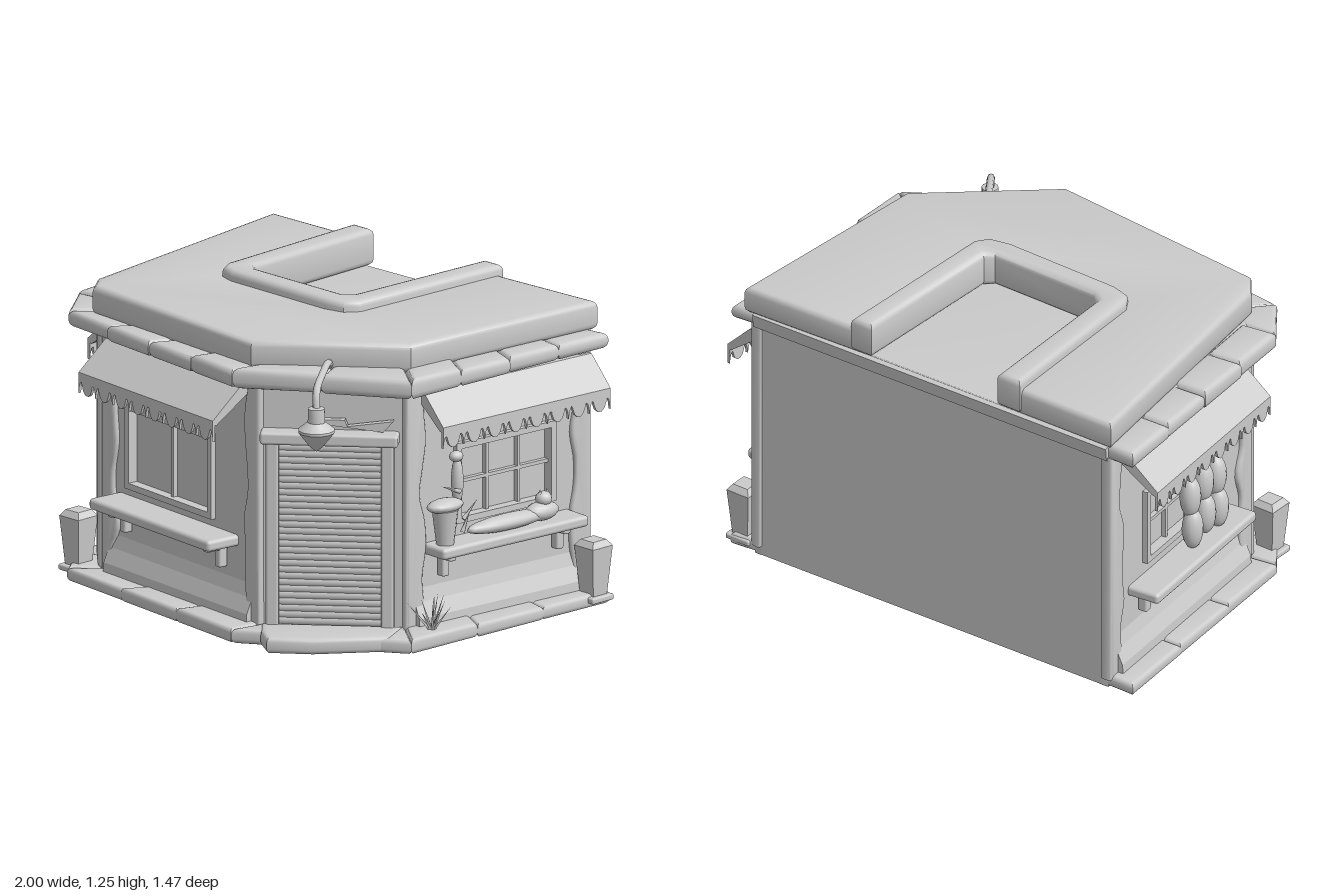
import * as THREE from 'three';
import { toCreasedNormals } from 'three/addons/utils/BufferGeometryUtils.js';
import { RoundedBoxGeometry } from 'three/addons/geometries/RoundedBoxGeometry.js';

const mat = new THREE.MeshStandardMaterial({ color: 0xcccccc, side: THREE.DoubleSide });
let seed = 7;
const rnd = (a, b) => { seed = (seed * 16807) % 2147483647; return a + (b - a) * seed / 2147483647; };

function add(parent, name, geo, x = 0, y = 0, z = 0) {
  const m = new THREE.Mesh(geo, mat);
  m.name = name;
  m.position.set(x, y, z);
  parent.add(m);
  return m;
}
const box = (p, name, w, h, d, x, y, z, r = 0) =>
  add(p, name, r ? new RoundedBoxGeometry(w, h, d, 2, r) : new THREE.BoxGeometry(w, h, d), x, y, z);
function blob(p, name, rx, ry, rz, x, y, z) {
  return add(p, name, new THREE.SphereGeometry(1, 14, 10).scale(rx, ry, rz), x, y, z);
}
const toShape = pts => new THREE.Shape(pts.map(([x, y]) => new THREE.Vector2(x, y)));

// Plan outline [x, z] raised from y0 to y1 with softened edges
function slab(p, name, pts, y0, y1, b = 0.015) {
  const g = new THREE.ExtrudeGeometry(toShape(pts.map(([x, z]) => [x, -z])), {
    depth: y1 - y0 - 2 * b, bevelSize: b, bevelThickness: b, bevelOffset: -b, bevelSegments: 3,
  });
  g.rotateX(-Math.PI / 2).translate(0, y0 + b, 0);
  return add(p, name, toCreasedNormals(g, 0.7));
}
// Side profile [z, y] swept along local x
function sweep(p, name, pts, w, x = 0) {
  const g = new THREE.ExtrudeGeometry(toShape(pts), { depth: w, bevelEnabled: false });
  return add(p, name, g.rotateY(-Math.PI / 2).translate(w / 2, 0, 0), x);
}

// Plans: wall line, cornice/plinth outline and roof
const WALL = [[-0.85, -0.67], [-0.74, 0.36], [-0.63, 0.46], [0.35, 0.57], [0.78, 0.21], [0.845, -0.715]];
const OUTER = [[-0.97, -0.67], [-0.87, 0.38], [-0.73, 0.57], [0.33, 0.71], [0.93, 0.32], [0.955, -0.725]];
const ROOF = [[-0.87, -0.68], [-0.7, 0.44], [-0.63, 0.53], [0.34, 0.615], [0.815, 0.21], [0.88, -0.735],
  [0.3, -0.71], [0.3, 0.02], [-0.35, 0.02], [-0.35, -0.69]];

// Mitred rows of worn stones between the wall line and an outer outline
function stoneRow(p, name, y0, y1, counts, wobble, bevel) {
  const mix = (a, b, t) => [a[0] + (b[0] - a[0]) * t, a[1] + (b[1] - a[1]) * t];
  counts.forEach((n, i) => {
    for (let k = 0; k < n; k++) {
      const t0 = k / n, t1 = (k + 1) / n, s = rnd(0.96, 1.04);
      const i0 = mix(WALL[i], WALL[i + 1], t0), i1 = mix(WALL[i], WALL[i + 1], t1);
      const o0 = mix(i0, mix(OUTER[i], OUTER[i + 1], t0), s);
      const o1 = mix(i1, mix(OUTER[i], OUTER[i + 1], t1), s);
      const back0 = mix(i0, o0, -0.2), back1 = mix(i1, o1, -0.2);
      slab(p, name, [back0, o0, o1, back1], y0, y1 + rnd(-wobble, wobble), bevel);
    }
  });
}

// Local frame of one wall: x along it, z outwards
function sideGroup(root, name, a, b) {
  const g = new THREE.Group();
  g.name = name;
  g.position.set((a[0] + b[0]) / 2, 0, (a[1] + b[1]) / 2);
  g.rotation.y = Math.atan2(a[1] - b[1], b[0] - a[0]);
  g.userData.len = Math.hypot(b[0] - a[0], b[1] - a[1]);
  root.add(g);
  return g;
}
function wallPanel(g, hole) {
  const l = g.userData.len / 2, s = toShape([[-l, 0], [l, 0], [l, 1.09], [-l, 1.09]]);
  if (hole) {
    const [x, y, w, h] = hole;
    s.holes.push(toShape([[x - w / 2, y - h / 2], [x - w / 2, y + h / 2], [x + w / 2, y + h / 2], [x + w / 2, y - h / 2]]));
  }
  add(g, 'wallPanel', new THREE.ExtrudeGeometry(s, { depth: 0.03, bevelEnabled: false }), 0, 0, -0.03);
}
function windowUnit(g, [x, y, w, h], cols, rows) {
  add(g, 'windowPane', new THREE.PlaneGeometry(w, h), x, y, -0.02);
  for (const s of [-1, 1]) {
    box(g, 'windowFrame', 0.025, h + 0.025, 0.075, x + s * w / 2, y, -0.015);
    box(g, 'windowFrame', w + 0.025, 0.025, 0.075, x, y + s * h / 2, -0.015);
  }
  for (let i = 1; i < cols; i++) box(g, 'windowBar', 0.014, h, 0.03, x - w / 2 + w * i / cols, y, -0.015);
  for (let i = 1; i < rows; i++) box(g, 'windowBar', w, 0.014, 0.03, x, y - h / 2 + h * i / rows, -0.015);
}
function awning(g, x, w, out) {
  sweep(g, 'awningCanopy', [[0, 1], [0.035, 1], [out, 0.885], [out, 0.865], [out - 0.02, 0.865], [0, 0.965]], w, x);
  const s = new THREE.Shape(), n = 8, q = w / n;
  s.moveTo(-w / 2, 0.88);
  s.lineTo(-w / 2, 0.8);
  for (let i = 0; i < n; i++) {
    const x0 = -w / 2 + i * q;
    s.bezierCurveTo(x0 + q * 0.05, 0.855, x0 + q * 0.2, 0.855, x0 + q * 0.2, 0.835);
    s.bezierCurveTo(x0 + q * 0.3, 0.785, x0 + q * 0.7, 0.785, x0 + q * 0.8, 0.835);
    s.bezierCurveTo(x0 + q * 0.8, 0.855, x0 + q * 0.95, 0.855, x0 + q, 0.8);
  }
  s.lineTo(w / 2, 0.88);
  add(g, 'awningValance', new THREE.ExtrudeGeometry(s, { depth: 0.012, bevelEnabled: false, curveSegments: 5 }), x, 0, out - 0.012);
}
function shelf(g, x, w, out) {
  box(g, 'shelf', w, 0.045, out + 0.06, x, 0.357, out / 2 - 0.03, 0.015);
  for (const s of [-1, 1]) {
    const bx = x + s * (w / 2 - 0.08);
    box(g, 'shelfBracket', 0.035, 0.1, 0.04, bx, 0.29, 0.025, 0.008);
    box(g, 'shelfBracket', 0.035, 0.03, out * 0.7, bx, 0.325, out * 0.35, 0.008);
  }
}
// Rough plaster with a ragged inner edge at both wall ends, and a flared foot
function plaster(g, w) {
  const l = g.userData.len / 2;
  for (const s of [-1, 1]) {
    const s1 = new THREE.Shape();
    s1.moveTo(s * l, 0.04);
    s1.lineTo(s * (l - w), 0.04);
    s1.splineThru(Array.from({ length: 9 }, (_, i) =>
      new THREE.Vector2(s * (l - w * rnd(0.65, 1.15)), 0.14 + i * 0.11)));
    s1.lineTo(s * l, 1.04);
    const geo = new THREE.ExtrudeGeometry(s1, {
      depth: 0.03, bevelSize: 0.015, bevelThickness: 0.012, bevelOffset: -0.008, bevelSegments: 3, curveSegments: 3,
    });
    add(g, 'cornerPlaster', toCreasedNormals(geo, 0.8), 0, 0, -0.022);
  }
  sweep(g, 'wallFoot', [[-0.01, 0.03], [0.045, 0.03], [0.04, 0.09], [0.014, 0.15], [-0.01, 0.24]], l * 2 - w, 0);
}
function planter(root, x, z) {
  const p = new THREE.Group();
  p.name = 'planter';
  p.position.set(x, 0.02, z);
  box(p, 'planterFoot', 0.115, 0.025, 0.115, 0, 0.012, 0, 0.008);
  const body = add(p, 'planterBody', toCreasedNormals(new THREE.CylinderGeometry(0.075, 0.052, 0.2, 4), 0.4), 0, 0.12, 0);
  const top = add(p, 'planterTop', toCreasedNormals(new THREE.CylinderGeometry(0.05, 0.075, 0.025, 4), 0.4), 0, 0.232, 0);
  body.rotation.y = top.rotation.y = Math.PI / 4;
  root.add(p);
}

export function createModel() {
  const root = new THREE.Group();
  root.name = 'cornerShop';

  const left = sideGroup(root, 'leftWall', WALL[0], WALL[1]);
  const pier = sideGroup(root, 'cornerPier', WALL[1], WALL[2]);
  const front = sideGroup(root, 'frontWall', WALL[2], WALL[3]);
  const door = sideGroup(root, 'doorWall', WALL[3], WALL[4]);
  const right = sideGroup(root, 'rightWall', WALL[4], WALL[5]);
  const back = sideGroup(root, 'backWall', WALL[5], WALL[0]);

  // Walls with windows, awnings and shelves: window is x, y, width, height
  for (const [g, win, cols, rows, ax, aw, out, sx, sw, sOut] of [
    [front, [-0.07, 0.585, 0.525, 0.32], 2, 1, -0.02, 0.85, 0.17, -0.03, 0.76, 0.15],
    [right, [0.035, 0.595, 0.48, 0.3], 3, 2, 0.03, 0.85, 0.15, 0, 0.74, 0.125],
    [left, [0, 0.595, 0.5, 0.3], 3, 2, 0, 0.84, 0.165, 0, 0.74, 0.135],
  ]) {
    wallPanel(g, win);
    windowUnit(g, win, cols, rows);
    awning(g, ax, aw, out);
    shelf(g, sx, sw, sOut);
    plaster(g, 0.08);
  }
  [pier, door, back].forEach(g => wallPanel(g));
  box(pier, 'pierFace', 0.16, 1.0, 0.06, 0, 0.54, 0, 0.025);
  sweep(back, 'backLip', [[-0.01, 1.02], [0.012, 1.035], [0.018, 1.09], [-0.01, 1.1]], back.userData.len);

  // Rolling shutter door with posts and lintel
  for (let i = 0; i < 29; i++) {
    const slat = new THREE.CylinderGeometry(0.018, 0.018, 0.42, 8).rotateZ(Math.PI / 2).scale(1, 1, 0.6);
    add(door, 'shutterSlat', slat, -0.01, 0.075 + i * 0.026, 0.006);
  }
  for (const s of [-1, 1]) box(door, 'doorPost', 0.05, 0.77, 0.06, -0.01 + s * 0.225, 0.43, 0.01, 0.01);
  box(door, 'doorLintel', 0.54, 0.05, 0.11, -0.01, 0.825, 0.02, 0.012);
  const sign = toShape([[-0.08, 0.885], [0.2, 0.855], [0.24, 0.9], [0.06, 0.875], [0.05, 0.9], [-0.08, 0.9]]);
  add(door, 'doorSign', new THREE.ExtrudeGeometry(sign, { depth: 0.03, bevelEnabled: false }), 0, 0, 0.01);
  slab(root, 'doorStep', [[0.36, 0.58], [0.44, 0.66], [0.53, 0.715], [0.67, 0.6], [0.85, 0.36], [0.78, 0.22]], 0, 0.065, 0.018);

  // Street lamp on a curved arm
  const arm = new THREE.CatmullRomCurve3([[0.55, 1.1, 0.39], [0.59, 1.135, 0.44], [0.66, 1.125, 0.54], [0.73, 1.09, 0.64], [0.75, 1.02, 0.66]]
    .map(p => new THREE.Vector3(...p)));
  add(root, 'lampArm', new THREE.TubeGeometry(arm, 20, 0.015, 8));
  const shade = [[0, 0.855], [0.025, 0.875], [0.072, 0.935], [0.072, 0.945], [0.035, 0.975], [0.033, 1.03], [0, 1.035]];
  add(root, 'lampShade', toCreasedNormals(new THREE.LatheGeometry(shade.map(p => new THREE.Vector2(...p)), 12), 0.6), 0.75, 0, 0.66);

  // Plinth, cornice and roof with a walled recess
  stoneRow(root, 'plinthStone', 0, 0.058, [3, 1, 3, 1, 3], 0.008, 0.018);
  stoneRow(root, 'corniceStone', 1.03, 1.105, [4, 1, 4, 2, 4], 0.01, 0.026);
  slab(root, 'recessFloor', WALL, 1.07, 1.1, 0.005);
  slab(root, 'roof', ROOF, 1.09, 1.207, 0.025);
  slab(root, 'roofParapet', [[-0.44, -0.7], [-0.4, 0.03], [-0.37, 0.08], [-0.3, 0.1], [0.22, 0.105], [0.31, 0.085], [0.35, 0.03],
    [0.37, -0.72], [0.27, -0.72], [0.25, -0.03], [0.22, 0], [-0.26, 0], [-0.3, -0.03], [-0.33, -0.7]], 1.1, 1.25, 0.025);

  // Goods on the left shelf
  for (let i = 0; i < 3; i++) for (let k = 0; k < 2; k++) {
    blob(left, 'hangingGoods', 0.045, 0.09, 0.042, 0.02 + i * 0.095, 0.46 + k * 0.14 + (i % 2) * 0.02, 0.055 - k * 0.01);
  }
  // Pot plant and lying animal on the right shelf
  add(right, 'pot', new THREE.CylinderGeometry(0.052, 0.035, 0.14, 14), -0.31, 0.45, 0.06);
  blob(right, 'plantClump', 0.085, 0.028, 0.05, -0.31, 0.535, 0.06);
  blob(right, 'plantStem', 0.025, 0.1, 0.025, -0.24, 0.62, 0.05);
  blob(right, 'plantTip', 0.03, 0.022, 0.025, -0.245, 0.72, 0.05);
  for (const [x, y, r] of [[-0.19, 0.5, -0.8], [-0.21, 0.46, -0.4], [-0.29, 0.6, 1.2]]) {
    add(right, 'twig', new THREE.ConeGeometry(0.01, 0.1, 5), x, y, 0.07).rotation.z = r;
  }
  blob(right, 'animalBody', 0.21, 0.032, 0.045, 0.01, 0.41, 0.06);
  blob(right, 'animalChest', 0.08, 0.038, 0.045, 0.18, 0.42, 0.06);
  blob(right, 'animalHead', 0.034, 0.03, 0.032, 0.19, 0.468, 0.06);
  for (const s of [-1, 1]) add(right, 'animalEar', new THREE.ConeGeometry(0.01, 0.02, 6), 0.19 + s * 0.018, 0.497, 0.06);

  // Grass tuft and planters
  const tuft = new THREE.Group();
  tuft.name = 'grassTuft';
  tuft.position.set(0.88, 0.05, 0.16);
  for (let i = 0; i < 14; i++) {
    const h = rnd(0.09, 0.16);
    const blade = add(tuft, 'grassBlade', new THREE.ConeGeometry(0.008, h, 4).translate(0, h / 2, 0));
    blade.rotation.set(rnd(-0.55, 0.55), 0, rnd(-0.5, 0.5));
  }
  root.add(tuft);
  planter(root, -0.76, 0.48);
  planter(root, 0.925, -0.67);
  return root;
}
